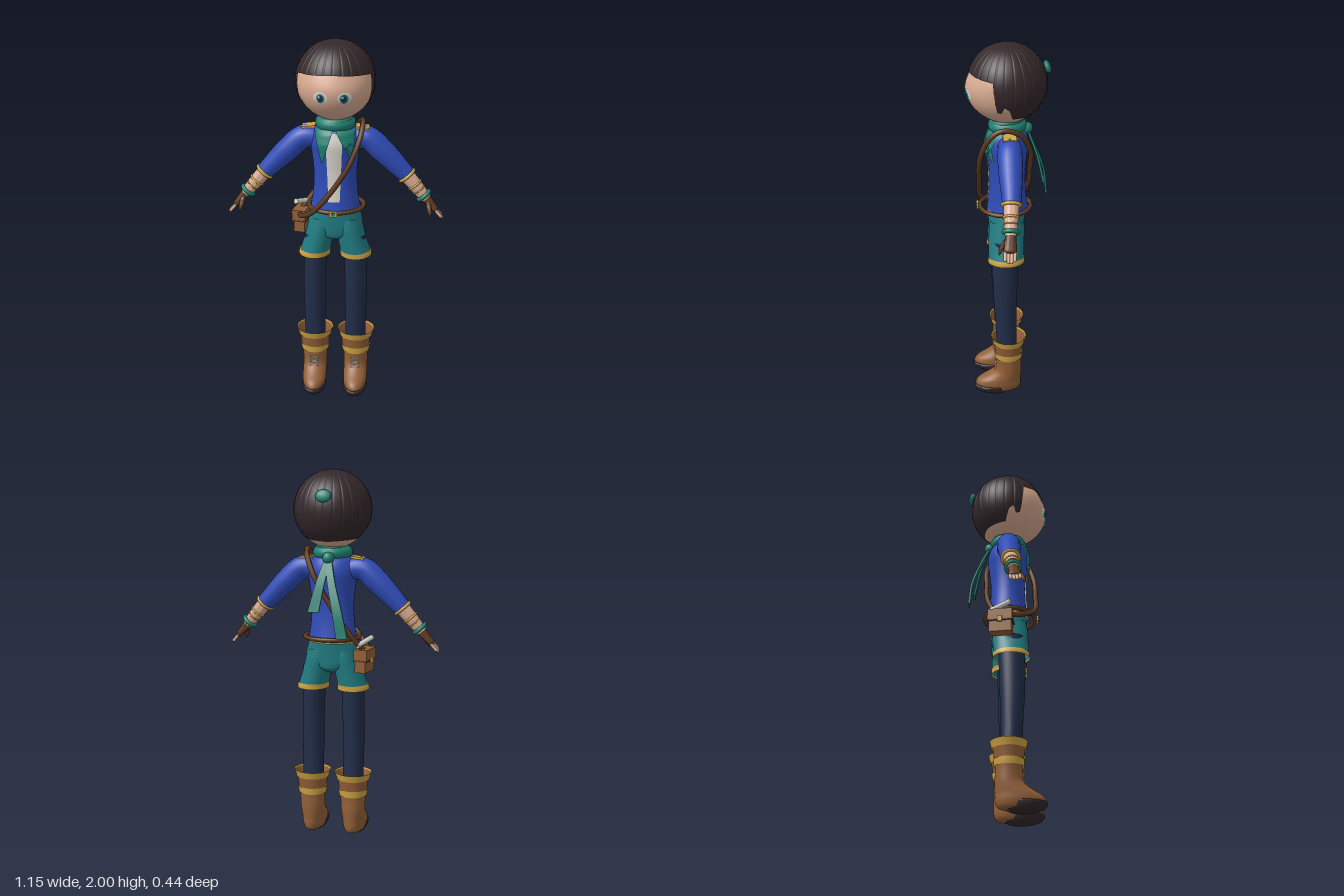
import * as THREE from 'three';
import { toCreasedNormals } from 'three/addons/utils/BufferGeometryUtils.js';
import { ParametricGeometry } from 'three/addons/geometries/ParametricGeometry.js';

const V = (x, y, z) => new THREE.Vector3(x, y, z);
const mat = (name, color) => new THREE.MeshStandardMaterial({ name, color, side: THREE.DoubleSide });
const M = {
  skin: mat('skin', 0xd9ab92), hair: mat('darkHair', 0x33272a), blue: mat('jacketBlue', 0x2f4cb8),
  scarf: mat('scarfGreen', 0x1f8070), teal: mat('shortsTeal', 0x207c82), gold: mat('gold', 0xcda443),
  navy: mat('navy', 0x212d48), boot: mat('bootBrown', 0x925f37), leather: mat('darkLeather', 0x5d3b22),
  cream: mat('cream', 0xd9d6cc),
};

function add(parent, name, geo, material, pos = [0, 0, 0], rot = [0, 0, 0], scale = [1, 1, 1]) {
  const m = new THREE.Mesh(geo, material);
  m.name = name;
  m.position.set(...pos);
  m.rotation.set(...rot);
  m.scale.set(...scale);
  parent.add(m);
  return m;
}

// Move every vertex of a geometry by a rule
function remap(geo, rule) {
  const p = geo.attributes.position;
  for (let i = 0; i < p.count; i++) {
    const v = rule(V(p.getX(i), p.getY(i), p.getZ(i)), i);
    p.setXYZ(i, v.x, v.y, v.z);
  }
  geo.computeVertexNormals();
  return geo;
}

// Smooth body of stacked ellipses; rows run upwards as [y, rx, rz, zc, xc]
function stack(rows) {
  const size = new THREE.CatmullRomCurve3(rows.map(r => V(r[1], r[0], r[2])));
  const mid = new THREE.CatmullRomCurve3(rows.map(r => V(r[4] || 0, r[0], r[3] || 0)));
  const n = (rows.length - 1) * 4, pts = [];
  for (let i = 0; i <= n; i++) pts.push(new THREE.Vector2(1, i));
  const geo = remap(new THREE.LatheGeometry(pts, 32), v => {
    const s = size.getPoint(v.y / n), c = mid.getPoint(v.y / n);
    return V(c.x + v.x * s.x, s.y, c.z + v.z * s.z);
  });
  return toCreasedNormals(geo, 1);
}

// Tube of changing radius; points are [x, y, z, radius]
function limb(points, n = 28, sides = 20) {
  const curve = new THREE.CatmullRomCurve3(points.map(p => V(p[0], p[1], p[2])));
  const radii = new THREE.CatmullRomCurve3(points.map((p, i) => V(i, p[3], 0)));
  const geo = new THREE.TubeGeometry(curve, n, 1, sides);
  remap(geo, (v, i) => {
    const t = Math.floor(i / (sides + 1)) / n, c = curve.getPointAt(t);
    return v.sub(c).multiplyScalar(radii.getPointAt(t).y).add(c);
  });
  return toCreasedNormals(geo, 1);
}

// Flat hanging cloth along a path
function ribbon(points, width) {
  const curve = new THREE.CatmullRomCurve3(points.map(p => V(...p)));
  return remap(new THREE.BoxGeometry(width, 1, 0.012, 2, 16, 1), v => {
    const t = 0.5 - v.y, c = curve.getPoint(t);
    return V(c.x + v.x * (0.6 + 0.5 * t), c.y, c.z + v.z);
  });
}

// Sheet spread between four corners and laid on a front surface z(x, y)
function patch(tl, tr, bl, br, surface, lift) {
  return remap(new THREE.PlaneGeometry(1, 1, 8, 16), v => {
    const u = v.x + 0.5, w = 0.5 - v.y, L = THREE.MathUtils.lerp;
    const x = L(L(tl[0], tr[0], u), L(bl[0], br[0], u), w);
    const y = L(L(tl[1], tr[1], u), L(bl[1], br[1], u), w);
    return V(x, y, surface(x, y) + lift);
  });
}

// Head shape: round above, tapering to the chin, fuller at the face
function headR(y) {
  const d = y - 1.79;
  return d > 0 ? Math.sqrt(Math.max(0, 0.04 - d * d)) : 0.2 * Math.pow(Math.max(0, 1 - Math.pow(-d / 0.21, 2.2)), 0.6);
}
const faceScale = y => 1 + 0.09 * (1 - THREE.MathUtils.smoothstep(y, 1.76, 1.87));
const headZ = (x, y) => faceScale(y) * Math.sqrt(Math.max(0, headR(y) ** 2 - x * x));

// Height of the hair's lower edge, by angle in degrees from the front
function hairEdge(a) {
  const stops = [[0, 1.862], [55, 1.85], [67, 1.845], [70, 1.69], [78, 1.685], [83, 1.72], [90, 1.705], [97, 1.645], [180, 1.632]];
  const i = Math.max(1, stops.findIndex(s => s[0] >= a));
  const [a0, y0] = stops[i - 1], [a1, y1] = stops[i];
  return y0 + (y1 - y0) * (a - a0) / (a1 - a0);
}

function buildHead(root) {
  const head = new THREE.Group();
  head.name = 'head';
  root.add(head);
  const pts = [];
  for (let i = 0; i <= 32; i++) {
    const y = 1.785 - 0.205 * Math.cos(i / 32 * Math.PI);
    pts.push(new THREE.Vector2(headR(y), y));
  }
  const skull = remap(new THREE.LatheGeometry(pts, 40), v => V(v.x, v.y, v.z > 0 ? v.z * faceScale(v.y) : v.z));
  add(head, 'face', toCreasedNormals(skull, 1.2), M.skin);
  add(head, 'neck', new THREE.CylinderGeometry(0.05, 0.055, 0.14, 24), M.skin, [0, 1.56, 0]);

  // Cap of hair with shallow combed grooves
  add(head, 'hair', new ParametricGeometry((u, v, out) => {
    const a = Math.PI - u * 2 * Math.PI;
    const end = Math.acos((hairEdge(Math.min(180, Math.abs(a) * 180 / Math.PI)) - 1.793) / 0.206);
    const th = v * end;
    const r = 0.207 - 0.0025 * Math.max(0, Math.cos(a * 26)) ** 6 * Math.sin(th);
    out.set(r * Math.sin(th) * Math.sin(a), 1.793 + r * Math.cos(th), r * Math.sin(th) * Math.cos(a));
  }, 260, 24), M.hair);
  add(head, 'hairTie', new THREE.SphereGeometry(1, 20, 14), M.scarf, [0, 1.872, -0.203], [0.35, 0, 0], [0.042, 0.034, 0.018]);

  for (const s of [1, -1]) {
    const disc = (name, cx, cy, rx, ry, lift, m) => add(head, name, remap(new THREE.RingGeometry(0, 1, 28, 4),
      v => V(cx + v.x * rx, cy + v.y * ry, headZ(cx + v.x * rx, cy + v.y * ry) + lift)), m);
    disc('eyeWhite', s * 0.061, 1.752, 0.036, 0.029, 0.002, M.cream);
    disc('iris', s * 0.059, 1.748, 0.021, 0.025, 0.004, M.teal);
    disc('pupil', s * 0.059, 1.748, 0.013, 0.017, 0.006, M.navy);
    disc('eyeGlint', s * 0.059 - 0.007, 1.757, 0.005, 0.006, 0.008, M.cream);
  }
}

function buildTorso(root) {
  const rows = [[1.1, 0.132], [1.16, 0.122], [1.24, 0.115], [1.32, 0.116], [1.4, 0.125], [1.47, 0.135], [1.53, 0.115], [1.57, 0.06]];
  add(root, 'jacket', stack(rows.map(([y, r]) => [y, r, r * 0.83, 0])), M.blue);
  const chestZ = (x, y) => {
    let i = 1;
    while (i < rows.length - 1 && rows[i][0] < y) i++;
    const [y0, r0] = rows[i - 1], [y1, r1] = rows[i];
    const r = r0 + (r1 - r0) * (y - y0) / (y1 - y0);
    return 0.83 * Math.sqrt(Math.max(0, r * r - x * x));
  };
  add(root, 'shirtFront', patch([-0.045, 1.53], [0.045, 1.53], [-0.03, 1.155], [0.03, 1.155], chestZ, 0.005), M.cream);
  add(root, 'brooch', new THREE.BoxGeometry(0.035, 0.035, 0.01), M.teal, [0.085, 1.46, 0.112], [0, 0.5, Math.PI / 4]);

  // Scarf: wrapped collar, two front points, back knot and two tails
  add(root, 'scarfWrap', new THREE.TorusGeometry(0.072, 0.034, 16, 36), M.scarf, [0, 1.567, 0], [Math.PI / 2, 0, 0], [1, 0.95, 1]);
  add(root, 'scarfFold', new THREE.TorusGeometry(0.066, 0.026, 14, 36), M.scarf, [0, 1.587, 0.005], [Math.PI / 2 + 0.12, 0.1, 0]);
  add(root, 'scarfKnot', new THREE.SphereGeometry(0.032, 18, 12), M.scarf, [0, 1.545, -0.1]);
  add(root, 'scarfTail', ribbon([[0, 1.55, -0.1], [-0.03, 1.42, -0.155], [-0.07, 1.28, -0.198], [-0.1, 1.14, -0.213]], 0.055), M.scarf);
  add(root, 'scarfTail', ribbon([[0, 1.55, -0.1], [0.03, 1.42, -0.15], [0.06, 1.27, -0.185]], 0.055), M.scarf);
  add(root, 'scarfPoint', patch([-0.105, 1.54], [-0.005, 1.55], [-0.068, 1.375], [-0.06, 1.375], chestZ, 0.014), M.scarf);
  add(root, 'scarfPoint', patch([0.005, 1.55], [0.105, 1.54], [0.09, 1.39], [0.1, 1.4], chestZ, 0.014), M.scarf);

  // Belt and buckle
  add(root, 'belt', new THREE.TorusGeometry(0.147, 0.012, 10, 48), M.leather, [0.005, 1.112, 0.012], [Math.PI / 2, 0, 0], [1, 0.92, 1]);
  add(root, 'buckle', new THREE.BoxGeometry(0.04, 0.032, 0.012), M.gold, [0, 1.112, 0.16]);
  add(root, 'buckleStone', new THREE.BoxGeometry(0.02, 0.016, 0.008), M.teal, [0, 1.112, 0.167]);

  // Shoulder strap over the left shoulder to the bag on the right hip
  const path = new THREE.CatmullRomCurve3([[0.145, 1.58, 0.04], [0.135, 1.52, 0.11], [0.09, 1.4, 0.148], [0.01, 1.26, 0.15], [-0.11, 1.11, 0.135],
    [-0.185, 1.05, 0.04], [-0.18, 1.06, -0.06], [-0.1, 1.17, -0.112], [0, 1.32, -0.118], [0.08, 1.46, -0.112], [0.13, 1.56, -0.05]].map(p => V(...p)), true);
  add(root, 'shoulderStrap', new THREE.TubeGeometry(path, 90, 0.014, 8, true), M.leather);

  const bag = new THREE.Group();
  bag.name = 'hipBag';
  bag.position.set(-0.185, 1.0, -0.045);
  bag.rotation.y = -0.2;
  root.add(bag);
  add(bag, 'bagBody', new THREE.BoxGeometry(0.06, 0.11, 0.12), M.boot, [0, -0.005, 0]);
  add(bag, 'bagFlap', new THREE.BoxGeometry(0.074, 0.06, 0.13), M.boot, [-0.002, 0.035, 0]);
  add(bag, 'bagTrim', new THREE.BoxGeometry(0.078, 0.008, 0.133), M.leather, [-0.002, 0.004, 0]);
  add(bag, 'bagCatch', new THREE.BoxGeometry(0.012, 0.03, 0.025), M.gold, [-0.042, 0.005, 0]);
  add(bag, 'scroll', new THREE.CylinderGeometry(0.014, 0.014, 0.12, 16), M.cream, [0, 0.1, 0], [1.3, 0, 0.3]);
}

function buildArm(root, s) {
  add(root, 'sleeve', limb([[s * 0.07, 1.475, -0.005, 0.06], [s * 0.165, 1.482, -0.004, 0.062], [s * 0.245, 1.415, -0.003, 0.063],
    [s * 0.31, 1.35, -0.003, 0.056], [s * 0.378, 1.28, -0.002, 0.047]]), M.blue);
  add(root, 'shoulderPatch', new THREE.BoxGeometry(0.07, 0.012, 0.07), M.gold, [s * 0.14, 1.541, -0.005], [0, 0, -s * 0.12]);

  // Forearm and hand hang down the group's own axis
  const arm = new THREE.Group();
  arm.name = 'forearmGroup';
  arm.position.set(s * 0.378, 1.28, 0);
  arm.rotation.set(-0.08, 0, s * 0.707);
  root.add(arm);
  const ring = (name, y, R, r, m) => add(arm, name, new THREE.TorusGeometry(R, r, 10, 28), m, [0, y, 0], [Math.PI / 2, 0, 0]);
  add(arm, 'forearm', stack([[-0.16, 0.029, 0.029], [-0.08, 0.036, 0.036], [0.02, 0.041, 0.041]]), M.skin);
  ring('sleeveCuff', 0, 0.045, 0.009, M.gold);
  ring('armBand', -0.065, 0.037, 0.006, M.gold);
  ring('armBand', -0.1, 0.034, 0.004, M.gold);
  ring('bracelet', -0.14, 0.035, 0.011, M.scarf);
  add(arm, 'glove', stack([[-0.25, 0.002, 0.004], [-0.243, 0.016, 0.03], [-0.21, 0.019, 0.032], [-0.17, 0.024, 0.028], [-0.13, 0.028, 0.028]]), M.leather);
  for (let i = 0; i < 4; i++) {
    add(arm, 'finger', new THREE.CapsuleGeometry(0.0085, 0.04, 4, 10), M.skin, [0, -0.262 - (i === 1 || i === 2 ? 0.01 : 0), -0.024 + i * 0.016]);
  }
  add(arm, 'thumb', limb([[-s * 0.005, -0.185, 0.02, 0.014], [-s * 0.022, -0.215, 0.04, 0.013], [-s * 0.036, -0.245, 0.05, 0.011], [-s * 0.038, -0.252, 0.051, 0.001]], 14, 10), M.leather);
}

function buildLeg(root, s) {
  const x = s * 0.113;
  add(root, 'legging', stack([[0.26, 0.055, 0.055, 0.008, x], [0.45, 0.058, 0.058, 0.014, x], [0.65, 0.06, 0.066, 0.018, x], [0.95, 0.061, 0.073, 0.014, s * 0.105]]), M.navy);
  add(root, 'shortsLeg', stack([[0.835, 0.083, 0.094, 0.012, s * 0.112], [0.92, 0.077, 0.095, 0.01, s * 0.09], [1.0, 0.075, 0.095, 0.007, s * 0.073], [1.05, 0.065, 0.09, 0.005, s * 0.07]]), M.teal);
  add(root, 'shortsHem', stack([[0.828, 0.086, 0.098, 0.012, s * 0.112], [0.843, 0.086, 0.098, 0.012, s * 0.111], [0.858, 0.084, 0.098, 0.012, s * 0.107]]), M.gold);

  const boot = new THREE.Group();
  boot.name = 'boot';
  boot.position.x = s * 0.115;
  root.add(boot);
  add(boot, 'bootBody', stack([[0.012, 0.002, 0.004, 0.04], [0.02, 0.05, 0.1, 0.045], [0.055, 0.064, 0.128, 0.058], [0.085, 0.066, 0.12, 0.05], [0.115, 0.066, 0.095, 0.024],
    [0.15, 0.066, 0.075, 0.003], [0.22, 0.07, 0.07, 0], [0.32, 0.086, 0.082, 0], [0.355, 0.096, 0.09, 0]]), M.boot);
  add(boot, 'sole', stack([[0, 0.004, 0.01, 0.06], [0.004, 0.045, 0.07, 0.07], [0.022, 0.06, 0.098, 0.084], [0.05, 0.067, 0.107, 0.085], [0.054, 0.055, 0.09, 0.082]]), M.hair);
  add(boot, 'bootBand', stack([[0.23, 0.076, 0.076], [0.248, 0.079, 0.078], [0.267, 0.081, 0.08]]), M.gold);
  add(boot, 'bootRim', stack([[0.322, 0.09, 0.086], [0.34, 0.095, 0.091], [0.362, 0.102, 0.097]]), M.gold);
  for (const y of [0.155, 0.178, 0.2]) {
    for (const t of [0.35, -0.35]) add(boot, 'lace', new THREE.BoxGeometry(0.05, 0.004, 0.006), M.cream, [0, y, 0.075], [0, 0, t]);
  }
}

export function createModel() {
  const root = new THREE.Group();
  root.name = 'adventurer';
  buildHead(root);
  buildTorso(root);
  add(root, 'shortsTop', stack([[0.915, 0.004, 0.03, 0.005], [0.94, 0.07, 0.085, 0.005], [0.97, 0.135, 0.096, 0.005], [1.02, 0.146, 0.099, 0.005], [1.1, 0.127, 0.102, 0.002]]), M.teal);
  add(root, 'waistband', stack([[1.088, 0.134, 0.109], [1.097, 0.134, 0.11], [1.106, 0.134, 0.112]]), M.gold);
  for (const s of [1, -1]) {
    buildArm(root, s);
    buildLeg(root, s);
  }
  return root;
}
